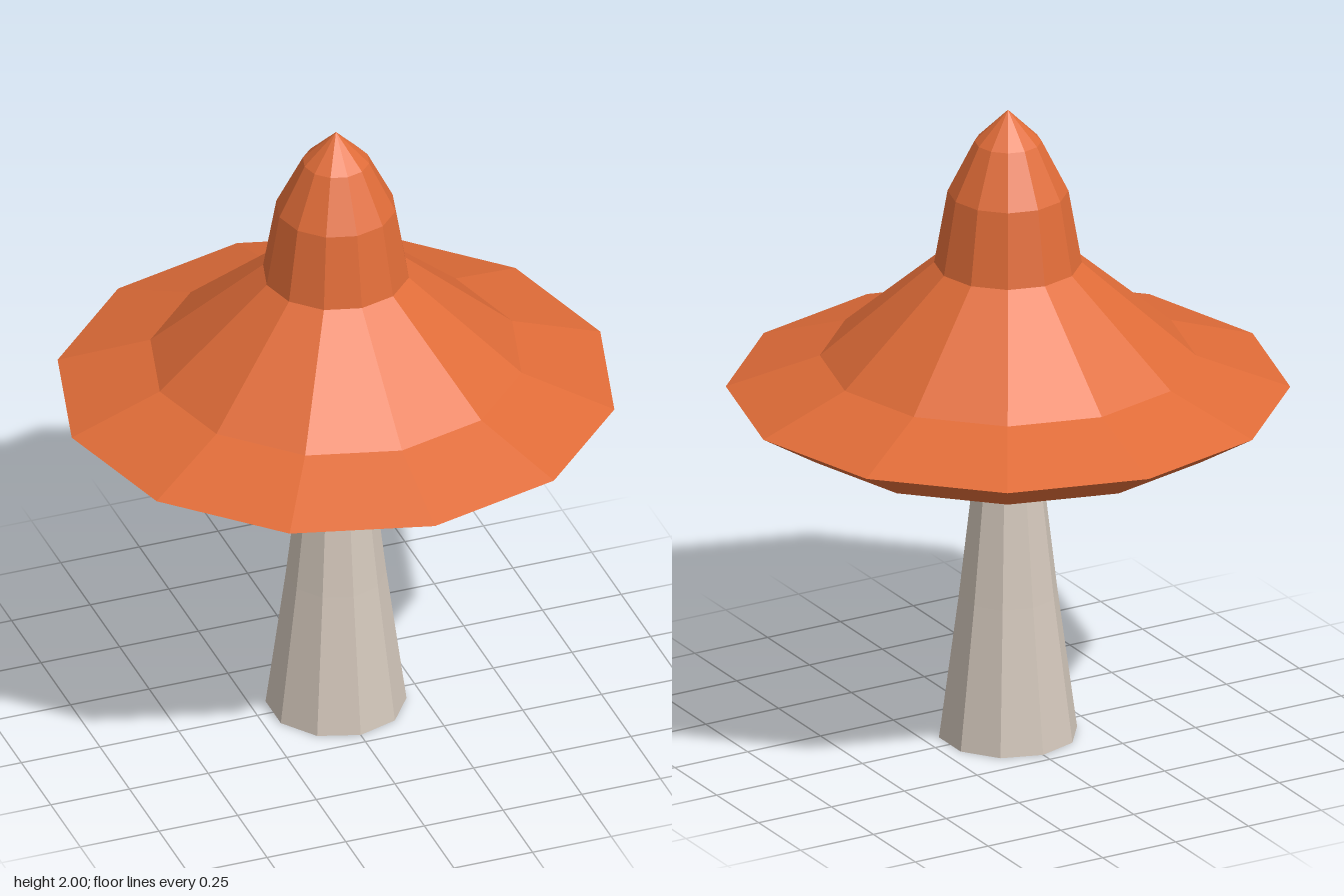
import * as THREE from 'three';

// Faceted solid of revolution from [radius, height] pairs, listed bottom to top
function turned(name, profile, sides, color) {
  const points = profile.map(([r, y]) => new THREE.Vector2(r, y));
  const material = new THREE.MeshStandardMaterial({ color, flatShading: true });
  const mesh = new THREE.Mesh(new THREE.LatheGeometry(points, sides), material);
  mesh.name = name;
  return mesh;
}

export function createModel() {
  const group = new THREE.Group();
  group.name = 'mushroom';

  // Tapering ten-sided stem with a closed foot, tucked into the cap
  group.add(turned('stem', [
    [0, 0], [0.21, 0], [0.15, 0.45], [0.1, 0.88], [0.08, 1], [0.07, 1.04], [0, 1.04],
  ], 10, 0xd2c6ba));

  // Twelve-sided cap: flat underside, flared brim, sloping skirt and pointed crown
  group.add(turned('cap', [
    [0, 1], [0.66, 1], [0.84, 1.11], [0.56, 1.21],
    [0.22, 1.51], [0.18, 1.74], [0.1, 1.9], [0, 2],
  ], 12, 0xe06c38));

  return group;
}
